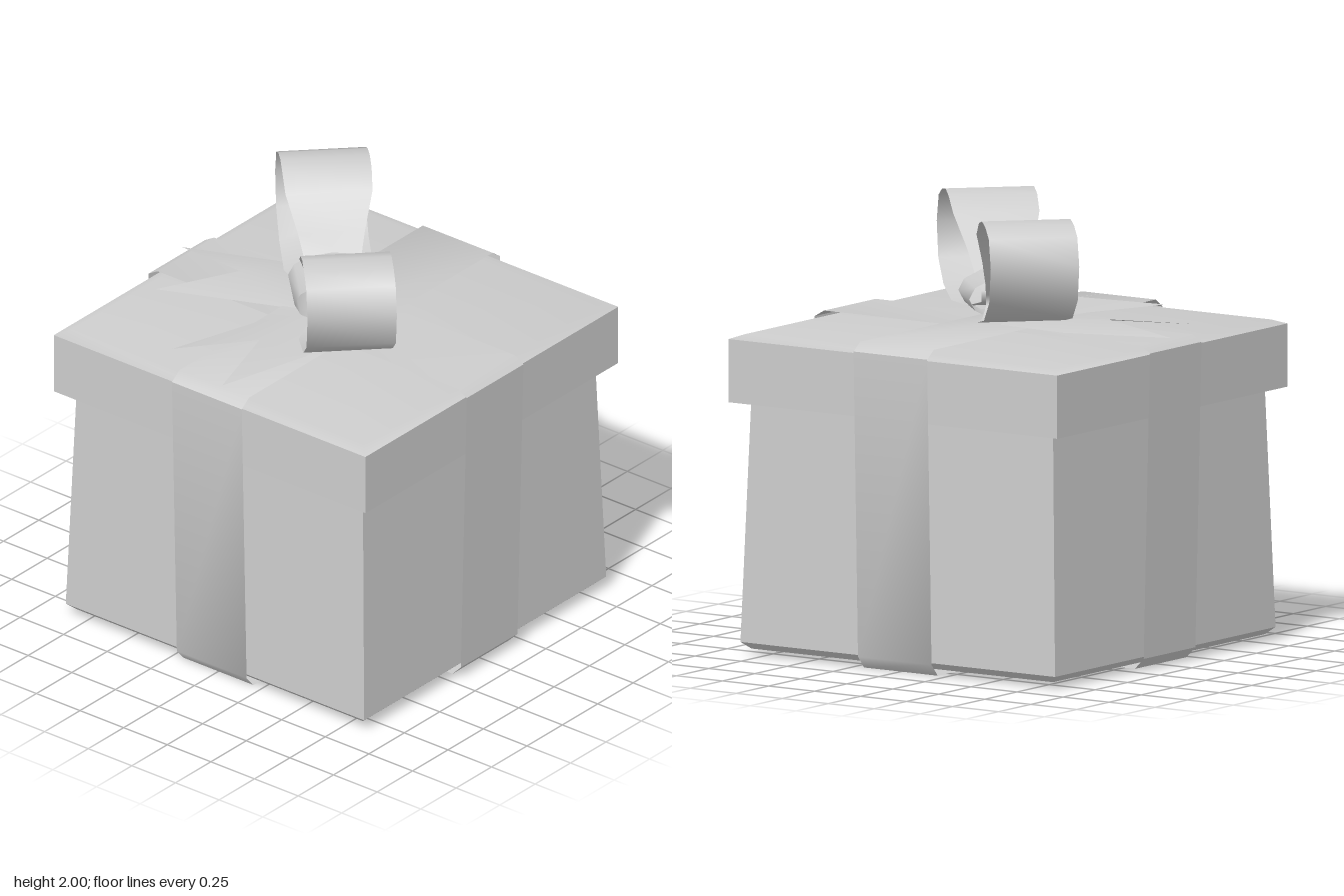
import * as THREE from 'three';
import { toCreasedNormals } from 'three/addons/utils/BufferGeometryUtils.js';

const paper = new THREE.MeshStandardMaterial({ color: 0xcccccc, side: THREE.DoubleSide });
paper.name = 'plain grey';

function part(name, geometry, parent) {
  const mesh = new THREE.Mesh(geometry, paper);
  mesh.name = name;
  parent.add(mesh);
  return mesh;
}

// Square solid from a profile of [half width, height], bottom to top
function squareSolid(profile) {
  const points = profile.map(([h, y]) => new THREE.Vector2(h * Math.SQRT2, y));
  return toCreasedNormals(new THREE.LatheGeometry(points, 4, Math.PI / 4), 0.7);
}

// Closed band: a path of [x, y, half width along z], swept across its width
function band(path) {
  const positions = [], index = [], n = path.length;
  for (const [x, y, w] of path) positions.push(x, y, -w, x, y, w);
  for (let i = 0; i < n; i++) {
    const a = 2 * i, b = 2 * ((i + 1) % n);
    index.push(a, a + 1, b, b, a + 1, b + 1);
  }
  const g = new THREE.BufferGeometry();
  g.setAttribute('position', new THREE.Float32BufferAttribute(positions, 3));
  g.setIndex(index);
  g.computeVertexNormals();
  return g;
}

// Ribbon wrapped round the box, with bevelled turns
function wrap(top, bottom) {
  const side = [[0.83, bottom], [0.878, 0.055], [0.912, 1.435], [0.86, top]];
  const mirrored = side.map(([x, y]) => [-x, y]).reverse();
  const path = [...side, ...mirrored].map(([x, y]) => [x, y, 0.2]);
  return toCreasedNormals(band(path), 0.7);
}

// Forked ribbon end with a raised middle; corners are [x, z]
function tail({ tips, notch, edges, roots }) {
  const mid = [(roots[0][0] + roots[1][0]) / 2, (roots[0][1] + roots[1][1]) / 2];
  const rows = [[tips[0], 1.48], [edges[0], 1.485], [roots[0], 1.49], [mid, 1.505],
    [notch, 1.52], [roots[1], 1.49], [edges[1], 1.485], [tips[1], 1.48]];
  const g = new THREE.BufferGeometry();
  g.setAttribute('position', new THREE.Float32BufferAttribute(
    rows.flatMap(([[x, z], y]) => [x, y, z]), 3));
  g.setIndex([0, 1, 4, 1, 3, 4, 1, 2, 3, 7, 4, 6, 6, 4, 3, 6, 3, 5]);
  // Turn faces upward
  g.computeVertexNormals();
  if (g.attributes.normal.getY(4) < 0) {
    g.setIndex(Array.from(g.index.array).reverse());
    g.computeVertexNormals();
  }
  return g;
}

export function createModel() {
  const gift = new THREE.Group();
  gift.name = 'giftBox';

  // Tapered box and its lid
  part('boxBody', squareSolid([[0, 0.027], [0.82, 0.027], [0.855, 0.058], [0.82, 1.16], [0, 1.16]]), gift);
  part('lid', squareSolid([[0, 1.14], [0.893, 1.14], [0.893, 1.425], [0.84, 1.445], [0, 1.447]]), gift);

  // Crossing ribbons
  part('sideRibbon', wrap(1.465, 0.006), gift);
  part('frontRibbon', wrap(1.473, 0), gift).rotation.y = Math.PI / 2;

  // Bow set diagonally across the lid
  const bow = new THREE.Group();
  bow.name = 'bow';
  bow.rotation.y = -Math.PI / 4;
  gift.add(bow);

  const loopPath = [
    [0.06, 1.6, 0.11], [0.13, 1.66, 0.125], [0.195, 1.77, 0.15], [0.3, 1.915, 0.195],
    [0.39, 1.98, 0.2], [0.47, 2.0, 0.2], [0.56, 1.985, 0.2], [0.645, 1.945, 0.2],
    [0.695, 1.82, 0.2], [0.655, 1.66, 0.2], [0.52, 1.56, 0.2], [0.32, 1.52, 0.2],
    [0.19, 1.515, 0.15], [0.06, 1.55, 0.11],
  ];
  for (const [name, turn] of [['leftLoop', 0], ['rightLoop', Math.PI]]) {
    part(name, band(loopPath), bow).rotation.y = turn;
  }

  const knotPath = [];
  for (let i = 0; i < 12; i++) {
    const a = (i / 12) * Math.PI * 2;
    knotPath.push([0.2 * Math.cos(a), 1.595 + 0.102 * Math.sin(a), 0.14]);
  }
  part('knot', band(knotPath), bow).rotation.y = Math.PI / 2;

  // Forked ribbon ends
  part('rightTail', tail({
    tips: [[-0.9, -0.02], [-0.745, 0.355]], notch: [-0.515, 0.045],
    edges: [[-0.44, -0.2], [-0.2, 0.135]], roots: [[-0.1, -0.2], [0.0, 0.06]],
  }), gift);
  part('frontTail', tail({
    tips: [[-0.34, 0.735], [0.045, 0.86]], notch: [-0.045, 0.485],
    edges: [[-0.203, 0.325], [0.17, 0.42]], roots: [[-0.2, 0.135], [0.15, 0.05]],
  }), gift);

  return gift;
}
